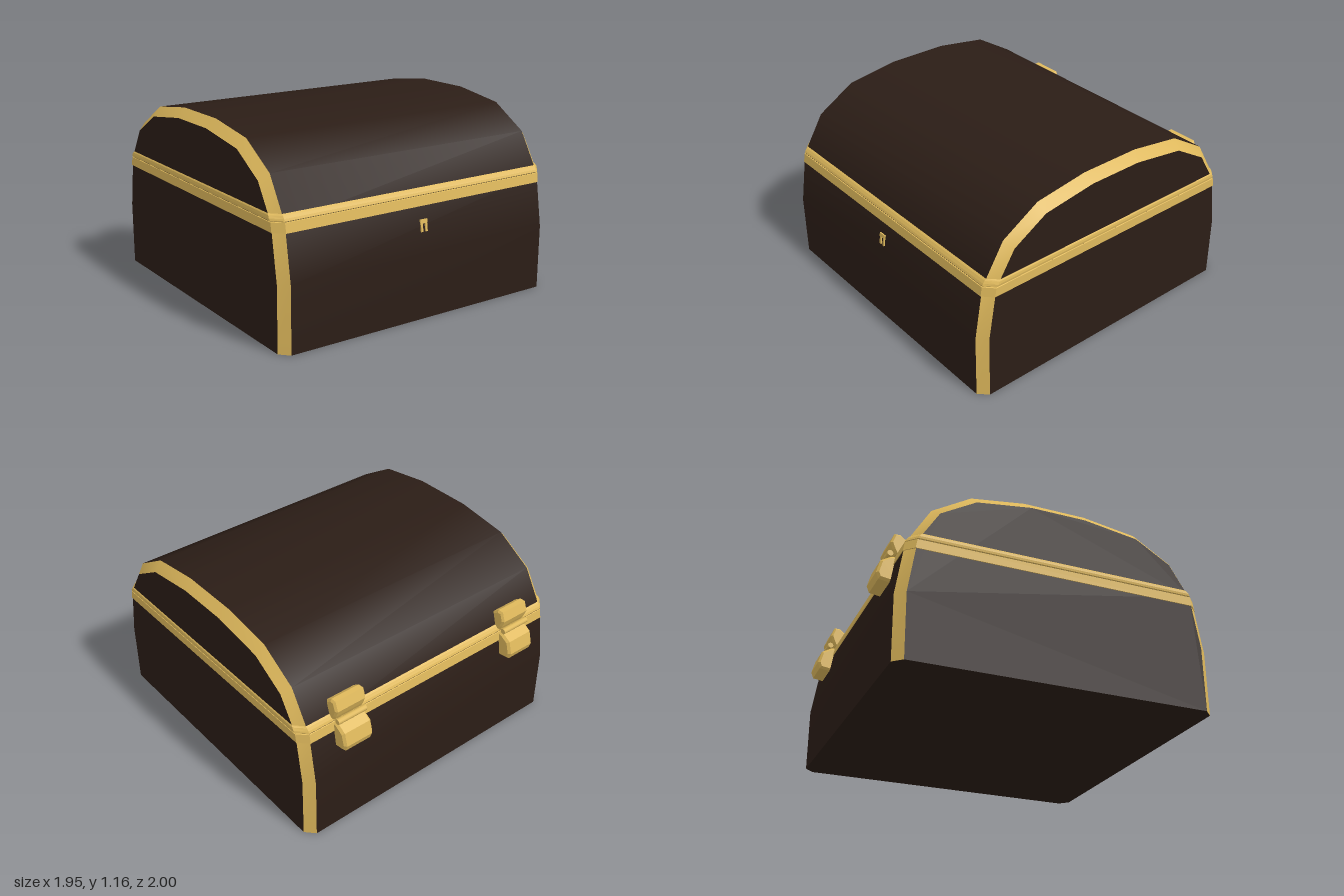
import * as THREE from 'three';

const dark = new THREE.MeshStandardMaterial({ color: 0x2b1d16 });
const gold = new THREE.MeshStandardMaterial({ color: 0xdfb95c });
const goldFlat = new THREE.MeshStandardMaterial({ color: 0xdfb95c, flatShading: true });

const PANEL_X = 0.917, SIDE_X = 0.97, INSET = 0.055, CENTRE_Z = 0.027;

// Half profiles as [z, y], front bottom to crown: full size, and inset for the end faces
const OUTER = [[0.973, 0], [0.973, 0.4], [0.92, 0.73], [0.775, 0.97], [0.535, 1.115], [0.195, 1.165]];
const INNER = [[0.918, 0], [0.918, 0.4], [0.865, 0.73], [0.74, 0.93], [0.52, 1.06], [0.175, 1.11]];
const whole = (half) => [...half, ...half.map(([z, y]) => [-z, y]).reverse()];

function addMesh(parent, name, geometry, material) {
  const mesh = new THREE.Mesh(geometry, material);
  mesh.name = name;
  parent.add(mesh);
  return mesh;
}

// Surface through rows of points
function skin(rows) {
  const n = rows[0].length, index = [];
  for (let i = 0; i < rows.length - 1; i++) {
    for (let j = 0; j < n - 1; j++) {
      const a = i * n + j, b = a + n;
      index.push(a, a + 1, b, a + 1, b + 1, b);
    }
  }
  const g = new THREE.BufferGeometry();
  g.setAttribute('position', new THREE.Float32BufferAttribute(rows.flat(2), 3));
  g.setIndex(index);
  g.computeVertexNormals();
  return g;
}

const rowAt = (x, half) => whole(half).map(([z, y]) => [x, y, z]);
const shapeOf = (points) => new THREE.Shape(points.map(([x, y]) => new THREE.Vector2(x, y)));

// Half depth of the body at height y
function halfDepth(y) {
  const i = y < 0.4 ? 0 : y < 0.73 ? 1 : 2;
  const [z0, y0] = OUTER[i], [z1, y1] = OUTER[i + 1];
  return z0 + (z1 - z0) * (y - y0) / (y1 - y0);
}

// Horizontal outline with chamfered corners, counter-clockwise seen from below
function ring(y, out) {
  const w = halfDepth(y) + out, v = w - INSET, x = PANEL_X, s = SIDE_X + out;
  const p = [[-x, w], [x, w], [s, v], [s, -v], [x, -w], [-x, -w], [-s, -v], [-s, v], [-x, w]];
  return p.map(([px, pz]) => [px, y, pz]);
}

// Bar of constant section along x, section given as [z, y]
function bar(section, width, bevel) {
  const g = new THREE.ExtrudeGeometry(shapeOf(section.map(([z, y]) => [-z, y])), {
    depth: width - 2 * bevel, bevelEnabled: true, bevelSegments: 1,
    bevelSize: bevel, bevelThickness: bevel, bevelOffset: -bevel,
  });
  return g.translate(0, 0, bevel - width / 2).rotateY(Math.PI / 2);
}

export function createModel() {
  const chest = new THREE.Group();
  chest.name = 'chest';

  const body = new THREE.Group();
  body.name = 'body';
  body.position.z = CENTRE_Z;
  chest.add(body);

  // Front, domed lid and back in one wrap
  addMesh(body, 'wrapPanel', skin([rowAt(PANEL_X, OUTER), rowAt(-PANEL_X, OUTER)]), dark);

  // Flat ends and chamfered gold edging
  for (const s of [1, -1]) {
    const end = new THREE.ShapeGeometry(shapeOf(whole(INNER))).rotateY(s * Math.PI / 2);
    addMesh(body, 'endPanel', end.translate(s * SIDE_X, 0, 0), dark);
    const rows = [rowAt(s * SIDE_X, INNER), rowAt(s * PANEL_X, OUTER)];
    addMesh(body, 'edgeTrim', skin(s > 0 ? rows : rows.reverse()), gold);
  }

  // Underside
  const base = shapeOf(ring(0, 0).slice(0, -1).map(([x, , z]) => [x, z]));
  addMesh(body, 'base', new THREE.ShapeGeometry(base).rotateX(Math.PI / 2), dark);

  // Flat rim of the box and rounded rim of the lid
  const boxRim = [[0.675, 0], [0.676, 0.004], [0.732, 0.004], [0.734, 0]];
  const lidRim = [[0.735, 0], [0.739, 0.005], [0.752, 0.007], [0.767, 0.005], [0.775, 0]];
  addMesh(body, 'boxRim', skin(boxRim.map(([y, o]) => ring(y, o))), goldFlat);
  addMesh(body, 'lidRim', skin(lidRim.map(([y, o]) => ring(y, o))), goldFlat);

  // Hinges at the back
  const upperLeaf = [[-0.83, 0.85], [-0.87, 0.88], [-0.905, 0.88], [-0.927, 0.82],
    [-0.91, 0.775], [-0.895, 0.745], [-0.86, 0.745]];
  const lowerLeaf = [[-0.88, 0.735], [-0.92, 0.73], [-0.978, 0.695], [-1, 0.615],
    [-0.985, 0.575], [-0.92, 0.565], [-0.88, 0.57]];
  for (const s of [1, -1]) {
    const hinge = new THREE.Group();
    hinge.name = 'hinge';
    hinge.position.x = s * 0.648;
    addMesh(hinge, 'upperLeaf', bar(upperLeaf, 0.215, 0.012), goldFlat);
    addMesh(hinge, 'lowerLeaf', bar(lowerLeaf, 0.205, 0.014), goldFlat);
    const pin = new THREE.CylinderGeometry(0.018, 0.018, 0.2, 10).rotateZ(Math.PI / 2);
    addMesh(hinge, 'pin', pin, gold).position.set(0, 0.75, -0.925);
    chest.add(hinge);
  }

  // Small forked catch on the front
  const catchPart = new THREE.Group();
  catchPart.name = 'catch';
  catchPart.position.set(0, 0.565, 0.974);
  catchPart.rotation.x = -0.15;
  addMesh(catchPart, 'catchBar', new THREE.BoxGeometry(0.05, 0.024, 0.016), goldFlat).position.y = 0.023;
  for (const s of [1, -1]) {
    addMesh(catchPart, 'catchProng', new THREE.BoxGeometry(0.014, 0.052, 0.014), goldFlat)
      .position.set(s * 0.016, -0.012, 0);
  }
  chest.add(catchPart);

  return chest;
}
